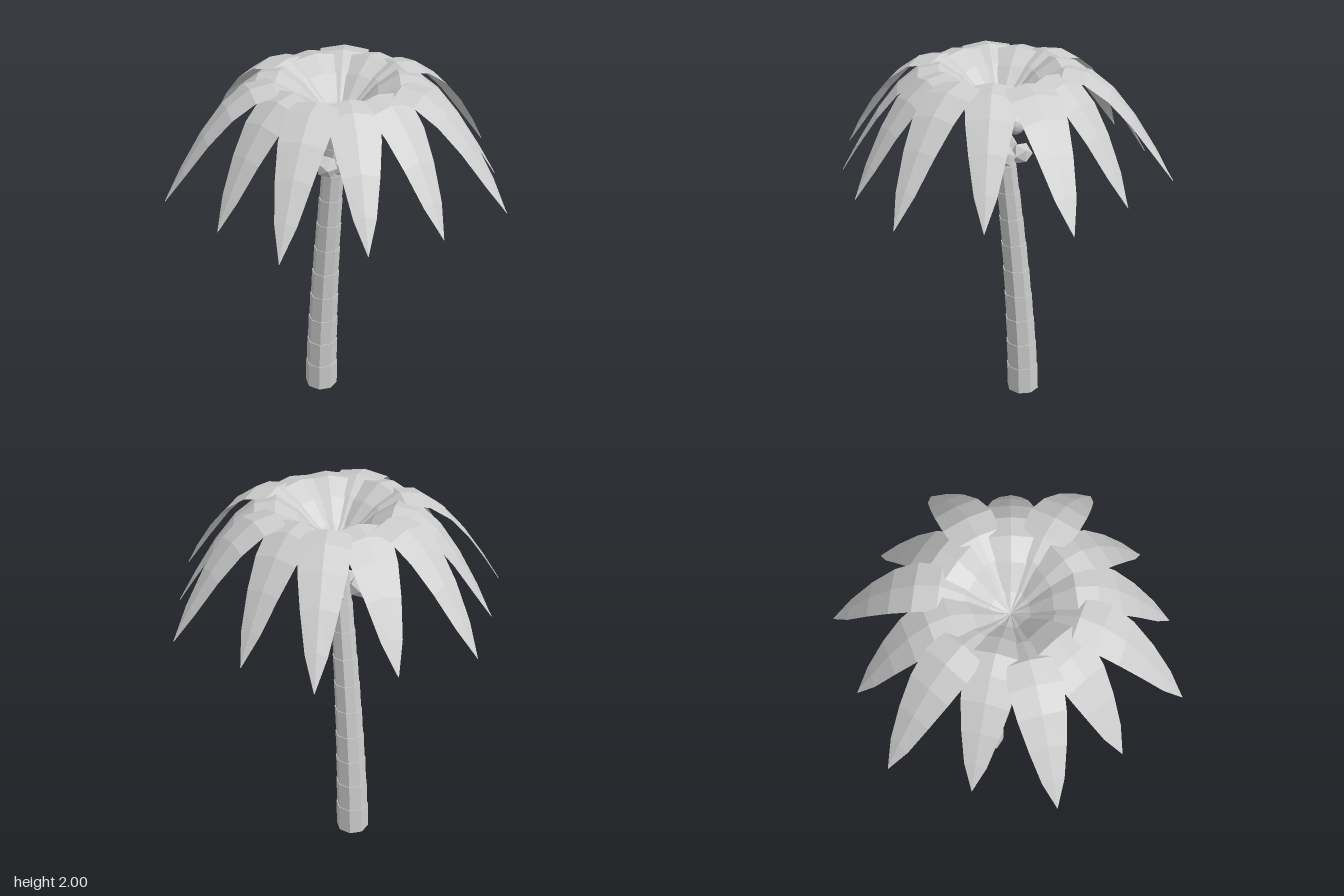
import * as THREE from 'three';

const HUB = new THREE.Vector3(0.03, 1.75, 0.02);

// Leaning trunk: centre line offset and radius at height y
const trunkX = (y) => -0.128 + 0.158 * Math.pow(y / HUB.y, 1.5);
const trunkR = (y) => 0.091 - 0.024 * y;

// Frond cross-sections: [distance from hub, height, half width]
const SECTIONS = [
  [0, 1.75, 0.012], [0.1, 1.81, 0.055], [0.22, 1.92, 0.095],
  [0.34, 1.99, 0.12], [0.46, 1.97, 0.13], [0.58, 1.885, 0.118],
  [0.7, 1.75, 0.092], [0.82, 1.58, 0.056], [0.92, 1.42, 0.001],
];

// Frond tips on the ground plane: [x, z]
const TIPS = [
  [0.146, -0.89], [0.5, -0.655], [0.85, -0.405], [0.86, 0.02], [0.76, 0.405],
  [0.56, 0.775], [0.135, 0.84], [-0.29, 0.88], [-0.585, 0.57], [-0.86, 0.24],
  [-0.77, -0.18], [-0.655, -0.59], [-0.26, -0.75],
];

// Arching leaf with a raised midrib, pointing along +x
function frondGeometry(length) {
  const pos = [], index = [];
  SECTIONS.forEach(([r, y, w], i) => {
    for (let j = -1; j <= 1; j++) {
      pos.push(r * length / 0.92, y - HUB.y + (j ? -0.14 * w : 0.006), j * w);
    }
    if (i === 0) return;
    for (let j = 0; j < 2; j++) {
      const a = (i - 1) * 3 + j, b = a + 3;
      index.push(a, a + 1, b, a + 1, b + 1, b);
    }
  });
  const g = new THREE.BufferGeometry();
  g.setAttribute('position', new THREE.Float32BufferAttribute(pos, 3));
  g.setIndex(index);
  const flat = g.toNonIndexed();
  flat.computeVertexNormals();
  return flat;
}

// One trunk ring, slightly flared at its top and sheared along the lean
function ringGeometry(y0, y1) {
  const g = new THREE.CylinderGeometry(trunkR(y1) + 0.004, trunkR(y0), y1 - y0, 8);
  g.translate(0, (y0 + y1) / 2, 0);
  const p = g.attributes.position;
  for (let i = 0; i < p.count; i++) p.setX(i, p.getX(i) + trunkX(p.getY(i)));
  const flat = g.toNonIndexed();
  flat.computeVertexNormals();
  return flat;
}

export function createModel() {
  const model = new THREE.Group();
  model.name = 'palmTree';
  const grey = new THREE.MeshStandardMaterial({ color: 0xcccccc, flatShading: true, side: THREE.DoubleSide });
  grey.name = 'lightGrey';

  const add = (parent, geometry, name) => {
    const mesh = new THREE.Mesh(geometry, grey);
    mesh.name = name;
    parent.add(mesh);
    return mesh;
  };
  const group = (name) => {
    const g = new THREE.Group();
    g.name = name;
    model.add(g);
    return g;
  };

  // Trunk of stacked rings
  const trunk = group('trunk');
  const rings = 11;
  for (let i = 0; i < rings; i++) {
    add(trunk, ringGeometry(HUB.y * i / rings, HUB.y * (i + 1) / rings), 'trunkRing');
  }
  trunk.position.z = 0.027;

  // Crown of fronds
  const crown = group('crown');
  crown.position.copy(HUB);
  for (const [x, z] of TIPS) {
    const dx = x - HUB.x, dz = z - HUB.z;
    add(crown, frondGeometry(Math.hypot(dx, dz)), 'frond').rotation.y = -Math.atan2(dz, dx);
  }

  // Coconuts: two rounder ones above, a faceted cluster below
  const coconuts = group('coconuts');
  const round = new THREE.IcosahedronGeometry(0.062, 2);
  const faceted = new THREE.IcosahedronGeometry(0.06, 0);
  for (const z of [0.115, -0.06]) {
    add(coconuts, round, 'upperCoconut').position.set(-0.015, 1.69, z);
    for (const x of [-0.06, 0.04]) {
      add(coconuts, faceted, 'lowerCoconut').position.set(x, 1.51, z * 0.92);
    }
  }
  add(coconuts, faceted, 'lowerCoconut').position.set(0.07, 1.5, 0.02);

  return model;
}
